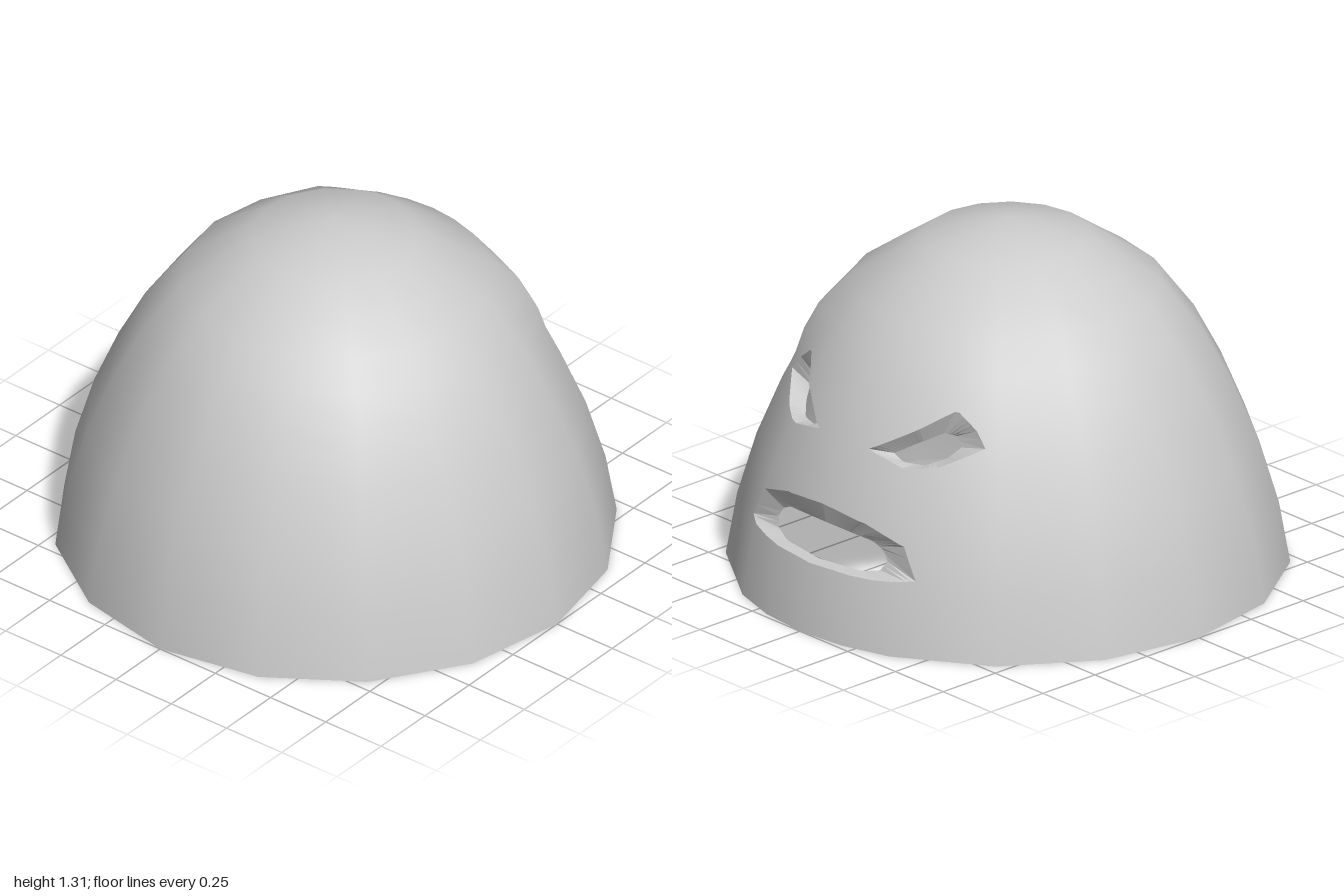
import * as THREE from 'three';

const SAMPLES = 24;
const THICKNESS = 0.06;

// piecewise linear lookup, clamped at both ends
function lerpTable(table, t) {
  if (t <= table[0][0]) return table[0][1];
  for (let i = 1; i < table.length; i++) {
    const [a, va] = table[i - 1], [b, vb] = table[i];
    if (t <= b) return va + (vb - va) * (t - a) / (b - a);
  }
  return table[table.length - 1][1];
}

// dome profile as [radius, height], and the smooth slope angle at each point
const OUTER = [[1, 0], [0.96, 0.23], [0.89, 0.465], [0.8, 0.68], [0.7, 0.87], [0.55, 1.07], [0.3, 1.24], [0, 1.31]];
const TILT = OUTER.map((p, i) => {
  const last = OUTER.length - 1;
  if (i === last) return Math.PI / 2;
  const a = OUTER[Math.max(i - 1, 0)], b = OUTER[i + 1];
  return Math.atan2(a[0] - b[0], b[1] - a[1]);
});

// inner skin, offset along the slope and cut flat at the bottom
const INNER = OUTER.map(([r, y], i) => [
  Math.max(r - THICKNESS * Math.cos(TILT[i]), 0),
  Math.max(y - THICKNESS * Math.sin(TILT[i]), 0),
]);

// right half of the mouth and one eye as [x, y] edges, on the outer and inner skin
const MOUTH = {
  outer: { top: [[0, 0.46], [0.2, 0.44], [0.365, 0.39], [0.43, 0.275]],
    low: [[0, 0.25], [0.28, 0.255], [0.43, 0.275]] },
  inner: { top: [[0, 0.385], [0.2, 0.375], [0.26, 0.345], [0.28, 0.31]],
    low: [[0, 0.255], [0.2, 0.26], [0.26, 0.275], [0.28, 0.31]] },
};
const EYE = {
  outer: { top: [[0.13, 0.68], [0.385, 0.85], [0.465, 0.79], [0.51, 0.735]],
    low: [[0.13, 0.68], [0.28, 0.645], [0.395, 0.66], [0.51, 0.735]] },
  inner: { top: [[0.19, 0.665], [0.26, 0.71], [0.33, 0.75], [0.375, 0.745], [0.4, 0.71]],
    low: [[0.19, 0.665], [0.23, 0.645], [0.31, 0.645], [0.37, 0.67], [0.4, 0.71]] },
};

const radiusAt = (profile, y) => lerpTable(profile.map(([r, h]) => [h, r]), y);
const bump = (t, centre, width) => Math.exp(-(((t - centre) / width) ** 2));

// sixteen sides, with the back two split once more
const CORNERS = [];
for (let i = -8; i <= 8; i++) CORNERS.push(i * Math.PI / 8);
CORNERS.push(Math.PI / 16, -Math.PI / 16);
CORNERS.sort((a, b) => a - b);
const CORNER_X = CORNERS.map((c) => [c, Math.sin(c)]);
const CORNER_Z = CORNERS.map((c) => [c, -Math.cos(c)]);

// point on a skin, with swollen brows and a thinner wall behind the face; the angle is measured from the back
function pointAt(profile, a, y) {
  const brow = 0.045 * bump(Math.abs(a), 0.75, 0.25) * bump(y, 0.97, 0.12);
  const thin = profile === INNER ? 0.024 * bump(a, 0, 0.7) * bump(y, 0.4, 0.3) : 0;
  const r = radiusAt(profile, y) + brow + thin;
  return new THREE.Vector3(r * lerpTable(CORNER_X, a), y, r * lerpTable(CORNER_Z, a));
}

// turn a hole's [x, y] edges into [angle, y] tables
function holeOn(profile, { top, low }) {
  const convert = (edge) => edge.map(([x, y]) => [Math.asin(x / radiusAt(profile, y)), y]);
  const t = convert(top), l = convert(low);
  const start = t[0][0], end = t[t.length - 1][0];
  return {
    top: (a) => lerpTable(t, Math.abs(a)),
    low: (a) => lerpTable(l, Math.abs(a)),
    angles: Array.from({ length: SAMPLES + 1 }, (_, k) => start + (end - start) * k / SAMPLES),
  };
}

function addTriangle(out, a, b, c) {
  const area = b.clone().sub(a).cross(c.clone().sub(a)).length();
  if (area > 1e-8) for (const p of [a, b, c]) out.push(p.x, p.y, p.z);
}

function addQuad(out, a, b, c, d) {
  addTriangle(out, a, b, c);
  addTriangle(out, a, c, d);
}

function toGeometry(points) {
  const g = new THREE.BufferGeometry();
  g.setAttribute('position', new THREE.Float32BufferAttribute(points, 3));
  g.computeVertexNormals();
  return g;
}

// round normals that follow the dome's slope
function smoothSkin(g, profile, sign) {
  const { position, normal } = g.attributes;
  const tilts = profile.map(([, y], i) => [y, TILT[i]]);
  for (let i = 0; i < position.count; i++) {
    const a = Math.atan2(position.getX(i), -position.getZ(i));
    const tilt = lerpTable(tilts, position.getY(i));
    const flat = sign * Math.cos(tilt);
    normal.setXYZ(i, flat * Math.sin(a), sign * Math.sin(tilt), -flat * Math.cos(a));
  }
  return g;
}

// a skin made of bands below, between and above the holes
function skinGeometry(profile, mouth, eye, inward) {
  const all = [...CORNERS];
  for (const a of [...mouth.angles, ...eye.angles]) all.push(a, -a);
  all.sort((a, b) => a - b);
  const columns = all.filter((a, i) => i === 0 || a - all[i - 1] > 1e-6);
  const rows = profile.flatMap(([, y], i) => (i ? [(profile[i - 1][1] + y) / 2, y] : [y]));
  const apex = rows[rows.length - 1];
  const bands = [[() => 0, mouth.low], [mouth.top, eye.low], [eye.top, () => apex]];
  const out = [];
  for (const [lo, hi] of bands) {
    const at = (a, y) => pointAt(profile, a, Math.min(Math.max(y, lo(a)), hi(a)));
    for (let c = 1; c < columns.length; c++) {
      for (let i = 1; i < rows.length; i++) {
        const a0 = columns[c - 1], a1 = columns[c], y0 = rows[i - 1], y1 = rows[i];
        const quad = [at(a0, y0), at(a0, y1), at(a1, y1), at(a1, y0)];
        addQuad(out, ...(inward ? quad.reverse() : quad));
      }
    }
  }
  return smoothSkin(toGeometry(out), profile, inward ? -1 : 1);
}

// sloping walls joining a hole's outer edge to its inner edge
function wallGeometry(outer, inner, side) {
  const out = [];
  for (const edge of ['top', 'low']) {
    for (let k = 1; k <= SAMPLES; k++) {
      const o = [k - 1, k].map((i) => pointAt(OUTER, side * outer.angles[i], outer[edge](outer.angles[i])));
      const n = [k - 1, k].map((i) => pointAt(INNER, side * inner.angles[i], inner[edge](inner.angles[i])));
      const quad = [o[0], n[0], n[1], o[1]];
      addQuad(out, ...((edge === 'low') === (side > 0) ? quad.reverse() : quad));
    }
  }
  return toGeometry(out);
}

// flat ring under the shell
function rimGeometry() {
  const out = [];
  for (let i = 1; i < CORNERS.length; i++) {
    const a = CORNERS[i - 1], b = CORNERS[i];
    addQuad(out, pointAt(OUTER, a, 0), pointAt(OUTER, b, 0), pointAt(INNER, b, 0), pointAt(INNER, a, 0));
  }
  return toGeometry(out);
}

export function createModel() {
  const group = new THREE.Group();
  group.name = 'hollowDome';
  const grey = new THREE.MeshStandardMaterial({ color: 0xcccccc, side: THREE.DoubleSide });
  grey.name = 'light grey';
  const add = (name, geometry) => {
    const mesh = new THREE.Mesh(geometry, grey);
    mesh.name = name;
    group.add(mesh);
  };

  const mouthOut = holeOn(OUTER, MOUTH.outer), mouthIn = holeOn(INNER, MOUTH.inner);
  const eyeOut = holeOn(OUTER, EYE.outer), eyeIn = holeOn(INNER, EYE.inner);

  add('outerShell', skinGeometry(OUTER, mouthOut, eyeOut, false));
  add('innerShell', skinGeometry(INNER, mouthIn, eyeIn, true));
  add('bottomRim', rimGeometry());
  for (const [label, side] of [['left', 1], ['right', -1]]) {
    add(label + 'MouthWall', wallGeometry(mouthOut, mouthIn, side));
    add(label + 'EyeWall', wallGeometry(eyeOut, eyeIn, side));
  }
  return group;
}
